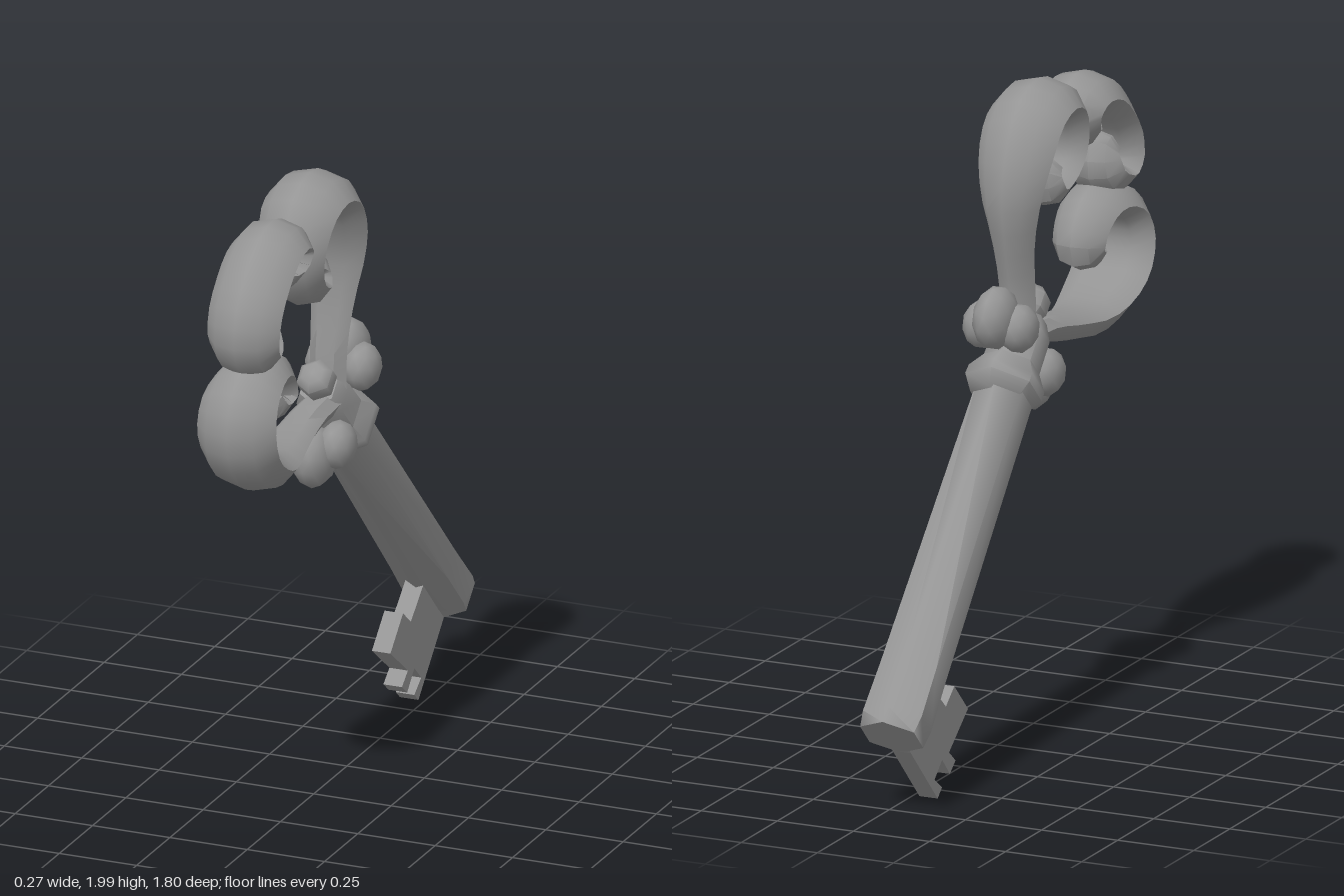
import * as THREE from 'three';
import { toCreasedNormals } from 'three/addons/utils/BufferGeometryUtils.js';

const material = new THREE.MeshStandardMaterial({ color: 0x959595 });

function addMesh(parent, name, geometry) {
  const mesh = new THREE.Mesh(geometry, material);
  mesh.name = name;
  parent.add(mesh);
  return mesh;
}

// Domed band section: [across, outward], counter-clockwise
const SECTION = [[1, -0.25], [0.6, 0.7], [0, 1], [-0.6, 0.7], [-1, -0.25], [-0.5, -0.9], [0.5, -0.9]];

// Sweeps the section along [halfWidth, y, z] points lying in the plane of the key
function scroll(points, steps) {
  const curve = new THREE.CatmullRomCurve3(points.map(p => new THREE.Vector3(...p)));
  const n = SECTION.length, pos = [], index = [];
  for (let i = 0; i <= steps; i++) {
    const p = curve.getPoint(i / steps);
    const t = curve.getTangent(i / steps).setX(0).normalize();
    const h = 0.025 + p.x * 0.3;
    for (const [a, b] of SECTION) pos.push(a * p.x, p.y + t.z * b * h, p.z - t.y * b * h);
  }
  for (let i = 0; i < steps; i++) {
    for (let j = 0; j < n; j++) {
      const k = (j + 1) % n;
      const a = i * n + j, b = i * n + k, c = b + n, d = a + n;
      index.push(a, b, c, a, c, d);
    }
  }
  const last = steps * n;
  for (let j = 1; j < n - 1; j++) {
    index.push(0, j + 1, j, last, last + j, last + j + 1);
  }
  const geometry = new THREE.BufferGeometry();
  geometry.setAttribute('position', new THREE.Float32BufferAttribute(pos, 3));
  geometry.setIndex(index);
  return toCreasedNormals(geometry, 0.75);
}

// Six-sided turned part from [radius, y, sideways scale] points, rounded across its sides
function turned(profile) {
  const points = profile.map(([r, y]) => new THREE.Vector2(r, y));
  const geometry = new THREE.LatheGeometry(points, 6);
  const pos = geometry.attributes.position;
  for (let i = 0; i < pos.count; i++) {
    const scale = profile[i % profile.length][2] ?? 1;
    pos.setX(i, pos.getX(i) * scale);
  }
  return toCreasedNormals(geometry, 1.1);
}

const SIDE_SCROLL = [
  [0.06, 0.21, -0.02], [0.06, 0.30, -0.12], [0.07, 0.38, -0.24], [0.1, 0.475, -0.36],
  [0.122, 0.587, -0.425], [0.128, 0.70, -0.445], [0.128, 0.795, -0.40], [0.122, 0.838, -0.312],
  [0.11, 0.81, -0.213], [0.1, 0.745, -0.155], [0.09, 0.66, -0.147], [0.085, 0.605, -0.18],
  [0.075, 0.63, -0.232], [0.06, 0.675, -0.225],
];

const HALF_CROWN = [
  [0.06, 0.93, -0.1], [0.075, 0.89, -0.073], [0.095, 0.845, -0.123], [0.108, 0.872, -0.187],
  [0.115, 0.938, -0.18], [0.118, 0.995, -0.105],
];

// Bit outline as [z, y]
const BIT = [
  [0, -0.954], [0.082, -0.954], [0.202, -0.947], [0.21, -0.872], [0.344, -0.872], [0.322, -1.036],
  [0.38, -1.03], [0.374, -1.08], [0.295, -1.077], [0.292, -1.148], [0.355, -1.137], [0.352, -1.178],
  [0.086, -1.175], [0, -1.165],
];

export function createModel() {
  const model = new THREE.Group();
  model.name = 'key';

  // Everything is built along y, then leaned over
  const key = new THREE.Group();
  key.name = 'leaningKey';
  key.position.y = 1.09;
  key.rotation.x = Math.PI / 4;
  model.add(key);

  // Shaft, broadening sideways towards the tip and leaning a touch
  const shaft = addMesh(key, 'shaft', turned([
    [0, -1.175], [0.092, -1.175, 1.1], [0.092, -1.12, 1.2], [0.088, -0.95, 1.2], [0.09, 0.02], [0, 0.02],
  ]));
  shaft.position.x = -0.02;
  shaft.rotation.z = -0.022;

  // Toothed bit
  const outline = new THREE.Shape(BIT.map(([z, y]) => new THREE.Vector2(z, y)));
  const bitGeometry = new THREE.ExtrudeGeometry(outline, { depth: 0.06, bevelEnabled: false });
  bitGeometry.rotateY(-Math.PI / 2).translate(-0.02, 0, 0);
  addMesh(key, 'bit', bitGeometry);

  // Collar, neck and knob
  const collar = addMesh(key, 'collar', turned([
    [0, -0.02], [0.09, -0.02], [0.122, 0.03], [0.12, 0.06], [0.088, 0.11], [0.085, 0.22], [0.06, 0.27], [0, 0.27],
  ]));
  collar.position.x = -0.01;
  addMesh(key, 'knob', turned([[0, 0.2], [0.045, 0.2], [0.04, 0.27], [0.058, 0.3], [0.058, 0.345], [0.035, 0.37], [0, 0.37]]));

  // Crown scroll, mirrored about the axis of the key
  const crown = [
    ...HALF_CROWN,
    [0.118, 1.01, 0],
    ...HALF_CROWN.map(([w, y, z]) => [w, y, -z]).reverse(),
  ];
  addMesh(key, 'crownScroll', scroll(crown, 26));

  // Side scroll and three-lobed leaf, repeated by a half turn
  const scrollGeometry = scroll(SIDE_SCROLL, 28);
  const lobeGeometry = new THREE.IcosahedronGeometry(1, 1);
  for (const turn of [0, Math.PI]) {
    const half = new THREE.Group();
    half.name = turn ? 'lowerHalf' : 'upperHalf';
    half.rotation.y = turn;
    key.add(half);
    addMesh(half, 'sideScroll', scrollGeometry);

    const leaf = addMesh(half, 'leafCentre', lobeGeometry);
    leaf.scale.set(0.065, 0.098, 0.095);
    leaf.position.set(0, 0.165, -0.18);
    for (const side of [-1, 1]) {
      const lobe = addMesh(half, 'leafLobe', lobeGeometry);
      lobe.scale.set(0.058, 0.075, 0.075);
      lobe.position.set(side * 0.06, 0.165, -0.13);
    }
  }
  return model;
}
